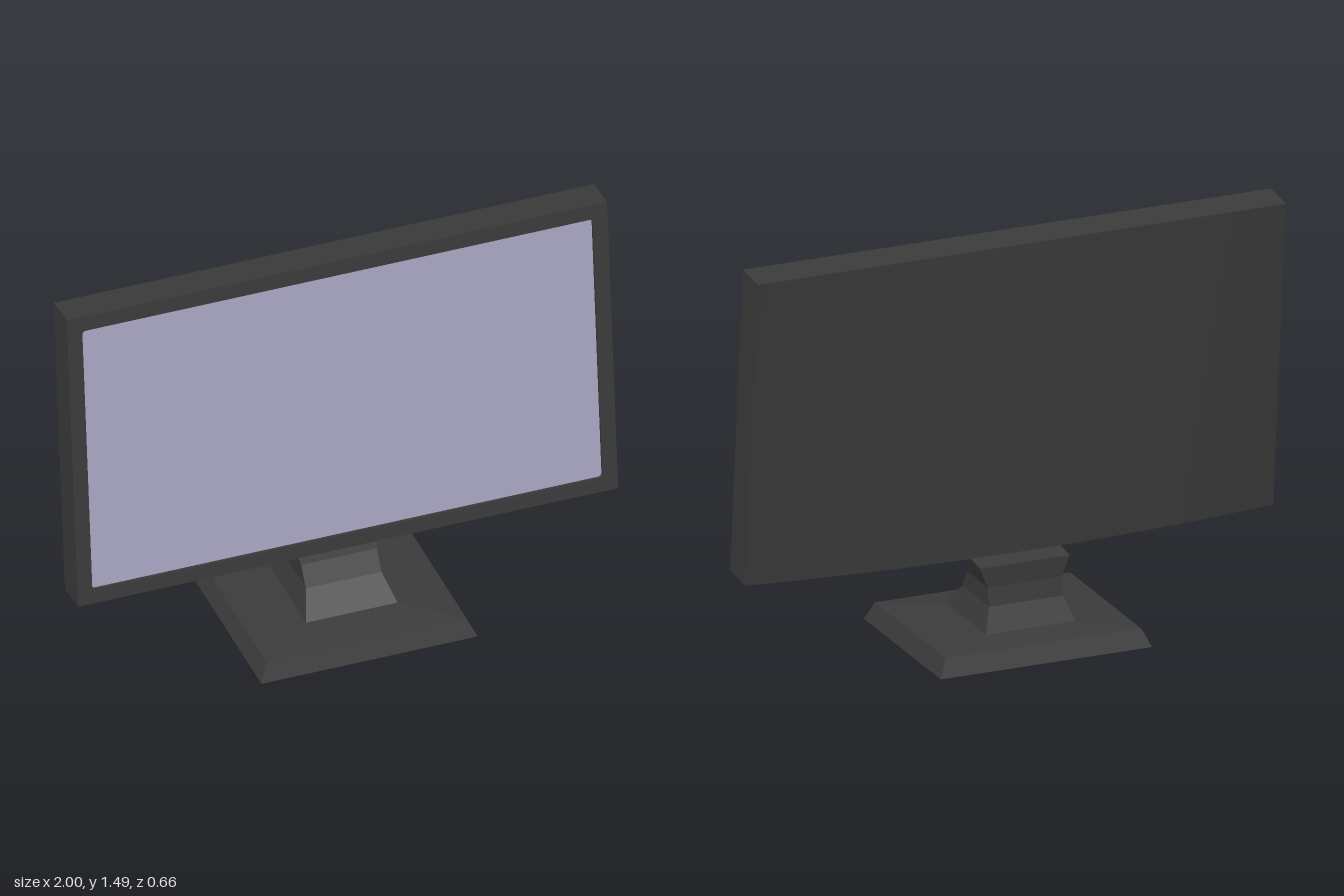
import * as THREE from 'three';

const W = 1, H = 1.155;      // panel half width and height
const RECESS = 0.015;        // depth of the screen behind the bezel

// Stack of four-cornered sections: [halfWidth, frontZ, frontY, backZ, backY]
function loft(sections) {
  const rings = sections.map(([w, fz, fy, bz, by]) =>
    [[w, fy, fz], [w, by, bz], [-w, by, bz], [-w, fy, fz]]);
  const pos = [];
  const quad = (a, b, c, d) => [a, b, c, a, c, d].forEach(p => pos.push(...p));
  for (let k = 0; k < rings.length - 1; k++) {
    for (let i = 0; i < 4; i++) {
      const j = (i + 1) % 4;
      quad(rings[k][i], rings[k][j], rings[k + 1][j], rings[k + 1][i]);
    }
  }
  const [a, b, c, d] = rings[0];
  quad(d, c, b, a);
  quad(...rings[rings.length - 1]);
  const g = new THREE.BufferGeometry();
  g.setAttribute('position', new THREE.Float32BufferAttribute(pos, 3));
  g.computeVertexNormals();
  return g;
}

// Draw a rounded rectangle onto a path or shape
function roundedRect(path, x0, y0, x1, y1, r) {
  path.moveTo(x0 + r, y0);
  path.lineTo(x1 - r, y0);
  path.quadraticCurveTo(x1, y0, x1, y0 + r);
  path.lineTo(x1, y1 - r);
  path.quadraticCurveTo(x1, y1, x1 - r, y1);
  path.lineTo(x0 + r, y1);
  path.quadraticCurveTo(x0, y1, x0, y1 - r);
  path.lineTo(x0, y0 + r);
  path.quadraticCurveTo(x0, y0, x0 + r, y0);
  return path;
}

export function createModel() {
  const model = new THREE.Group();
  model.name = 'monitor';

  const casing = new THREE.MeshStandardMaterial({ color: 0x3b3b3b });
  casing.name = 'charcoal plastic';
  const glass = new THREE.MeshStandardMaterial({ color: 0xaaa8c4 });
  glass.name = 'lavender grey screen';

  const add = (parent, name, geometry, material) => {
    const mesh = new THREE.Mesh(geometry, material);
    mesh.name = name;
    parent.add(mesh);
    return mesh;
  };

  // Foot with sloping rim and shallow pitched top
  add(model, 'base', loft([
    [0.4, 0.33, 0, -0.33, 0],
    [0.37, 0.305, 0.065, -0.305, 0.065],
    [0.17, 0.155, 0.085, -0.195, 0.085],
  ]), casing);

  // Waisted neck, cut off along the tilt of the panel
  add(model, 'neck', loft([
    [0.17, 0.155, 0.085, -0.195, 0.085],
    [0.14, 0.075, 0.17, -0.155, 0.17],
    [0.14, 0.03, 0.24, -0.143, 0.235],
    [0.17, -0.01, 0.327, -0.145, 0.312],
  ]), casing);

  // Tilted panel, hinged at its lower front edge
  const panel = new THREE.Group();
  panel.name = 'panel';
  panel.position.set(0, 0.34, 0.12);
  panel.rotation.x = -0.0955;
  model.add(panel);

  // Housing: its back bulges towards the bottom centre
  const housing = new THREE.BoxGeometry(2 * W, H, 1, 24, 1, 1);
  const p = housing.attributes.position;
  for (let i = 0; i < p.count; i++) {
    const x = p.getX(i), y = p.getY(i) + H / 2;
    const back = -0.13 - 0.06 * (1 - x * x) * (1 - y / H);
    p.setXYZ(i, x, y, p.getZ(i) > 0 ? -RECESS : back);
  }
  housing.computeVertexNormals();
  add(panel, 'housing', housing, casing);

  // Bezel frame around the recessed screen
  const opening = [-0.945, 0.055, 0.945, 1.097, 0.015];
  const frame = new THREE.Shape();
  frame.moveTo(-W, 0);
  frame.lineTo(W, 0);
  frame.lineTo(W, H);
  frame.lineTo(-W, H);
  frame.closePath();
  frame.holes.push(roundedRect(new THREE.Path(), ...opening));
  add(panel, 'bezel', new THREE.ExtrudeGeometry(frame,
    { depth: RECESS, bevelEnabled: false, curveSegments: 4 }), casing).position.z = -RECESS;

  // Screen
  const screen = roundedRect(new THREE.Shape(), ...opening);
  add(panel, 'screen', new THREE.ShapeGeometry(screen, 4), glass).position.z = -RECESS + 0.002;

  return model;
}
